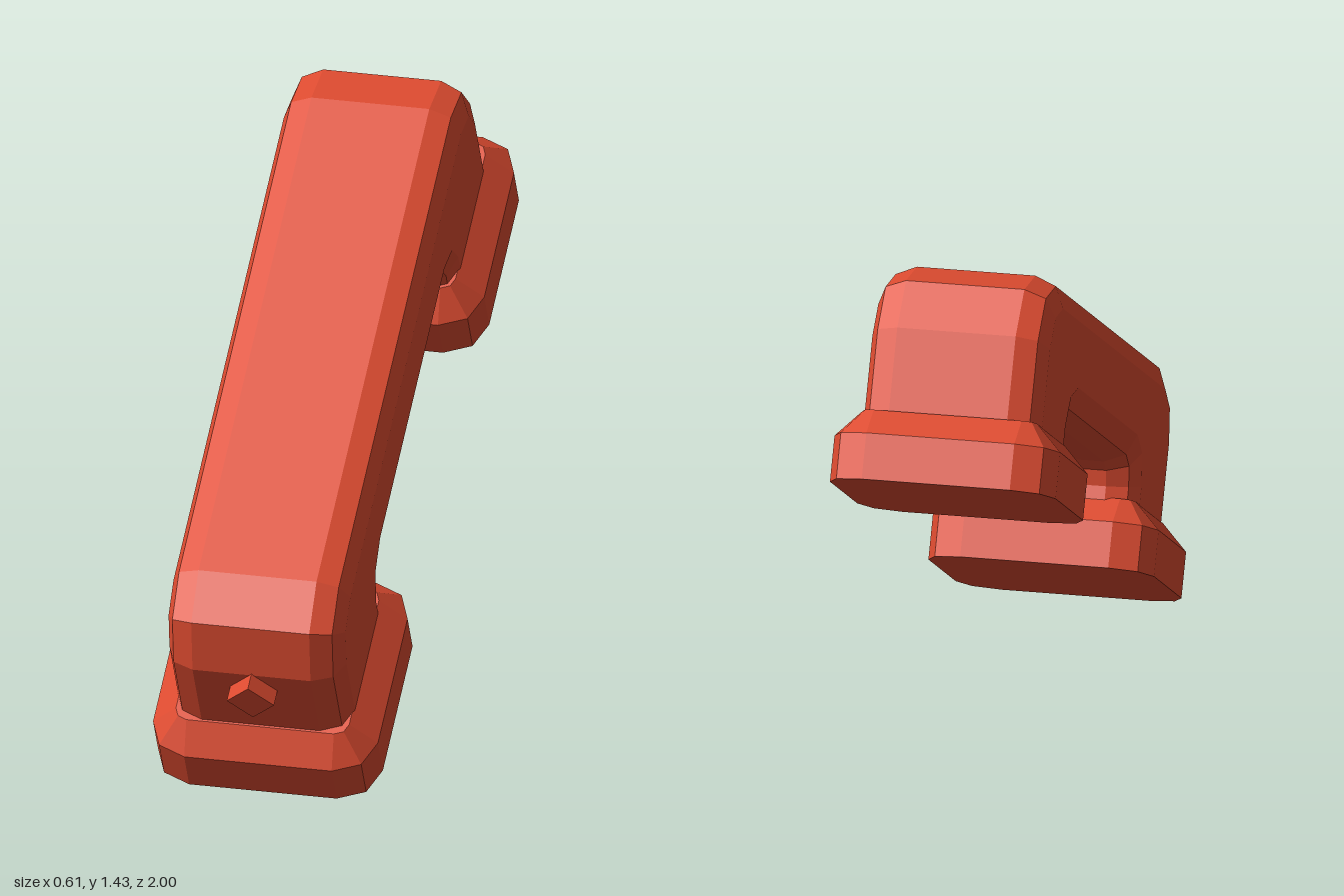
import * as THREE from 'three';

const LENGTH = 2.083; // along the tilted axis
const TILT = THREE.MathUtils.degToRad(29);

// Rounded rectangle, three points per corner, in the pad plane
function roundedRect(cx, halfU, halfW, r) {
  const pts = [];
  for (let c = 0; c < 4; c++) {
    const su = c === 0 || c === 3 ? 1 : -1;
    const sw = c < 2 ? 1 : -1;
    for (let k = 0; k < 3; k++) {
      const a = (c + k / 2) * Math.PI / 2;
      pts.push([cx + su * (halfU - r) + r * Math.cos(a), sw * (halfW - r) + r * Math.sin(a)]);
    }
  }
  return pts;
}

// Closed solid through loops stacked upwards
function loft(levels) {
  const n = levels[0].pts.length;
  const pos = [], idx = [];
  for (const { y, pts } of levels) for (const [u, w] of pts) pos.push(u, y, w);
  for (let l = 0; l < levels.length - 1; l++) {
    for (let i = 0; i < n; i++) {
      const a = l * n + i, b = l * n + (i + 1) % n;
      idx.push(a, a + n, b, b, a + n, b + n);
    }
  }
  const top = (levels.length - 1) * n;
  for (let i = 1; i < n - 1; i++) idx.push(0, i, i + 1, top, top + i + 1, top + i);
  const g = new THREE.BufferGeometry();
  g.setAttribute('position', new THREE.Float32BufferAttribute(pos, 3));
  g.setIndex(idx);
  const flat = g.toNonIndexed();
  flat.computeVertexNormals();
  return flat;
}

export function createModel() {
  const model = new THREE.Group();
  model.name = 'handset';
  const red = new THREE.MeshStandardMaterial({ color: 0xdd4b30, flatShading: true });

  // Tilted frame: x runs along the handset, y away from the pads
  const tilted = new THREE.Group();
  tilted.name = 'tiltedHandset';
  const s = Math.sin(TILT), c = Math.cos(TILT);
  tilted.quaternion.setFromRotationMatrix(new THREE.Matrix4().makeBasis(
    new THREE.Vector3(0, s, -c), new THREE.Vector3(0, c, s), new THREE.Vector3(1, 0, 0)));
  tilted.position.z = 0.82;
  model.add(tilted);

  const add = (name, geometry) => {
    const mesh = new THREE.Mesh(geometry, red);
    mesh.name = name;
    tilted.add(mesh);
    return mesh;
  };

  // Handle with two legs: half profile, mirrored, with bevelled edges
  const inner = [[0.076, 0.05], [0.555, 0.05], [0.555, 0.225], [0.573, 0.265], [0.615, 0.283]];
  const outer = [[0.265, 0.61], [0.132, 0.554], [0.076, 0.42]];
  const mirror = pts => pts.map(([u, v]) => [LENGTH - u, v]).reverse();
  const profile = [...inner, ...mirror(inner), ...mirror(outer), ...outer];
  const shape = new THREE.Shape(profile.map(([u, v]) => new THREE.Vector2(u, v)));
  const body = new THREE.ExtrudeGeometry(shape, {
    depth: 0.32, steps: 1, bevelEnabled: true, bevelSegments: 2,
    bevelThickness: 0.08, bevelSize: 0.08, bevelOffset: -0.08,
  });
  body.translate(0, 0, -0.16);
  add('handle', body);

  // Mouth and ear pads, chamfered towards the handle
  const half = 0.309;
  for (const [name, u] of [['mouthPad', half], ['earPad', LENGTH - half]]) {
    const rim = roundedRect(u, half, 0.305, 0.105);
    add(name, loft([
      { y: 0, pts: rim },
      { y: 0.124, pts: rim },
      { y: 0.196, pts: roundedRect(u, half - 0.07, 0.235, 0.035) },
    ]));
  }

  // Diamond-shaped cord socket on the lower end
  const socket = add('cordSocket', new THREE.CylinderGeometry(0.064, 0.064, 0.12, 4));
  socket.rotation.z = Math.PI / 2;
  socket.position.set(0.088, 0.361, 0);

  return model;
}
